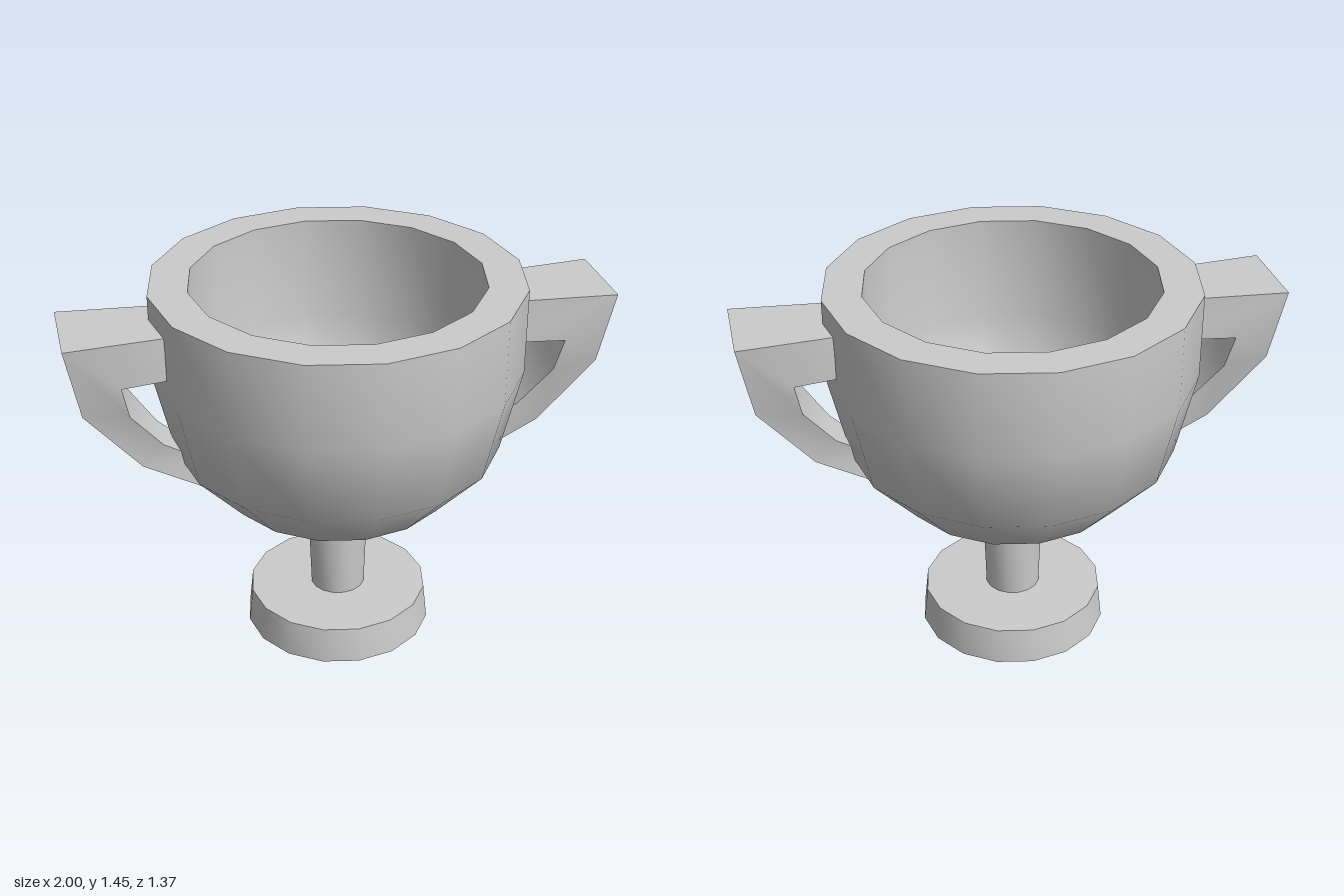
import * as THREE from 'three';
import { toCreasedNormals } from 'three/addons/utils/BufferGeometryUtils.js';

const material = new THREE.MeshStandardMaterial({ color: 0xcccccc });
const CREASE = 0.9;

// 16-sided turned part; profile runs [radius, y] up the outside
function turned(name, profile) {
  const points = profile.map(([r, y]) => new THREE.Vector2(r, y));
  const mesh = new THREE.Mesh(toCreasedNormals(new THREE.LatheGeometry(points, 16), CREASE), material);
  mesh.name = name;
  return mesh;
}

// Tapering four-sided bar through sections [outerX, outerY, innerX, innerY, halfWidth]
function handleGeometry() {
  const sections = [
    [0.58, 1.363, 0.58, 1.2, 0.13],
    [1.0, 1.363, 0.81, 1.2, 0.165],
    [0.95, 1.09, 0.785, 1.07, 0.135],
    [0.75, 0.838, 0.67, 0.918, 0.09],
    [0.42, 0.63, 0.51, 0.8, 0.04],
  ];
  const positions = [];
  const index = [];
  for (const [ox, oy, ix, iy, w] of sections) {
    positions.push(ox, oy, w, ox, oy, -w, ix, iy, -w, ix, iy, w);
  }
  for (let s = 0; s < sections.length - 1; s++) {
    for (let k = 0; k < 4; k++) {
      const a = s * 4 + k;
      const b = s * 4 + ((k + 1) % 4);
      index.push(a, a + 4, b + 4, a, b + 4, b);
    }
  }
  // End caps
  const e = (sections.length - 1) * 4;
  index.push(0, 1, 2, 0, 2, 3, e, e + 2, e + 1, e, e + 3, e + 2);
  const geometry = new THREE.BufferGeometry();
  geometry.setAttribute('position', new THREE.Float32BufferAttribute(positions, 3));
  geometry.setIndex(index);
  return toCreasedNormals(geometry, CREASE);
}

export function createModel() {
  const model = new THREE.Group();
  model.name = 'trophyCup';

  // Foot, stem and hollow bowl, meeting ring to ring
  model.add(turned('base', [[0, 0], [0.36, 0], [0.345, 0.141], [0.105, 0.144]]));
  model.add(turned('stem', [[0.105, 0.144], [0.115, 0.447]]));
  model.add(turned('bowl', [
    [0.115, 0.447], [0.43, 0.607], [0.61, 0.806], [0.683, 1.128], [0.683, 1.452],
    [0.54, 1.452], [0.54, 1.05], [0.49, 0.8], [0.38, 0.66], [0.2, 0.56], [0, 0.53],
  ]));

  // Pair of handles, set slightly forward
  const geometry = handleGeometry();
  for (const [name, turn] of [['leftHandle', 0], ['rightHandle', Math.PI]]) {
    const handle = new THREE.Mesh(geometry, material);
    handle.name = name;
    handle.rotation.y = turn;
    handle.position.z = 0.025;
    model.add(handle);
  }
  return model;
}
